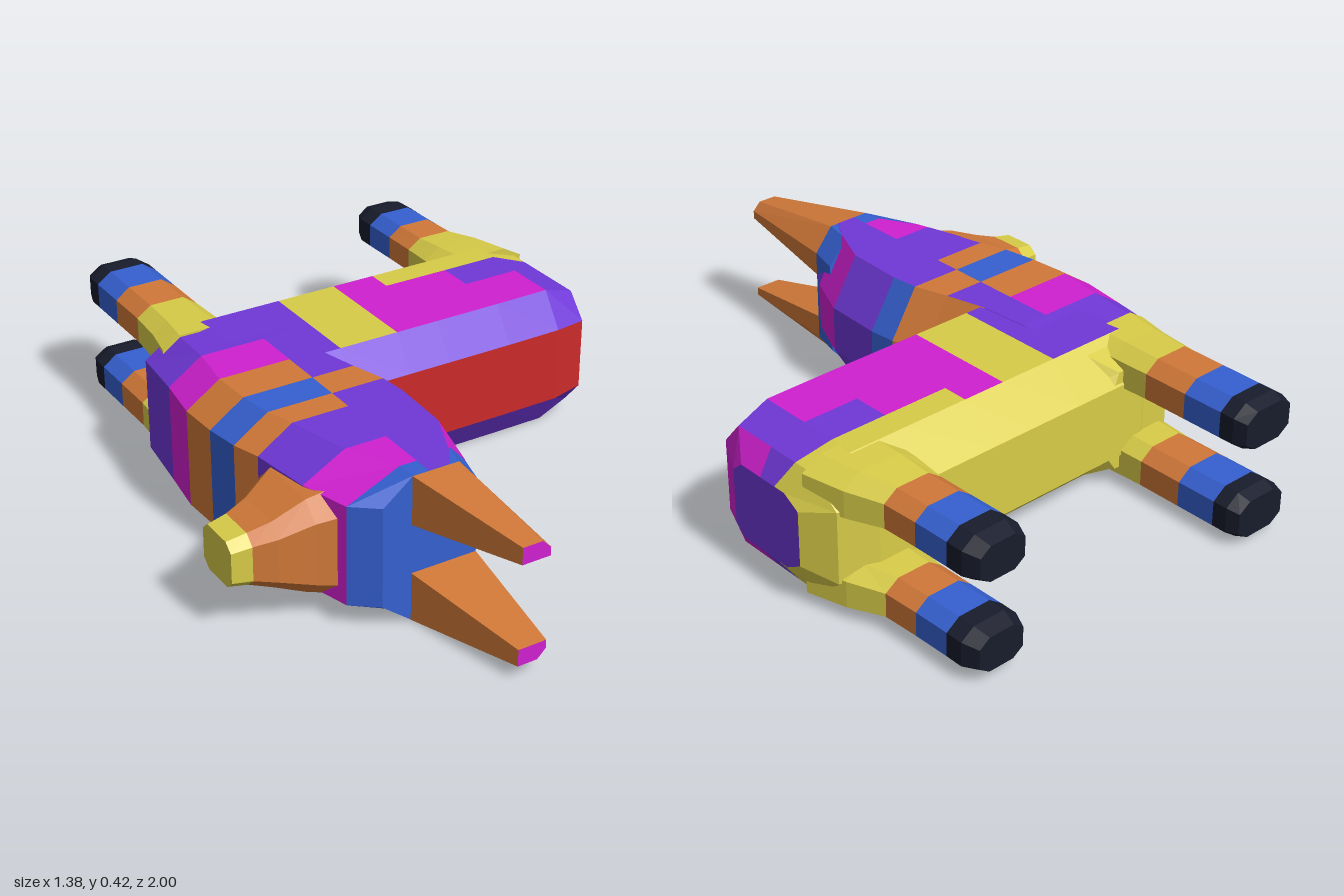
import * as THREE from 'three';

const PURPLE = 0x7038d8, MAGENTA = 0xd020d0, BLUE = 0x3560d0, ORANGE = 0xd07838;
const YELLOW = 0xd8cc48, RED = 0xcc2a2a, NAVY = 0x181c2c;

// Skin a list of rings (arrays of Vector3) and close both ends; one mesh per colour.
function loft(name, rings, colorAt) {
  const part = new THREE.Group();
  part.name = name;
  const buckets = new Map();
  const mid = pts => pts.reduce((s, p) => s.add(p), new THREE.Vector3()).divideScalar(pts.length);
  const face = (pts, inside) => {
    const c = mid(pts), color = colorAt(c.x, c.y, c.z);
    if (!buckets.has(color)) buckets.set(color, []);
    for (let i = 1; i < pts.length - 1; i++) {
      const tri = [pts[0], pts[i], pts[i + 1]];
      const n = tri[1].clone().sub(tri[0]).cross(tri[2].clone().sub(tri[0]));
      if (n.dot(c.clone().sub(inside)) < 0) tri.reverse();
      tri.forEach(p => buckets.get(color).push(p.x, p.y, p.z));
    }
  };
  const centres = rings.map(mid);
  for (let k = 0; k < rings.length - 1; k++) {
    const a = rings[k], b = rings[k + 1], inside = centres[k].clone().lerp(centres[k + 1], 0.5);
    a.forEach((p, i) => {
      const j = (i + 1) % a.length;
      face([p, a[j], b[j], b[i]], inside);
    });
  }
  face(rings[0], centres[1]);
  face(rings.at(-1), centres.at(-2));

  for (const [color, pos] of buckets) {
    const g = new THREE.BufferGeometry();
    g.setAttribute('position', new THREE.Float32BufferAttribute(pos, 3));
    g.computeVertexNormals();
    const m = new THREE.Mesh(g, new THREE.MeshStandardMaterial({ color, flatShading: true }));
    m.name = name + 'Patch';
    part.add(m);
  }
  return part;
}

// Mirror a half outline [u, w] into a closed one.
const mirrored = half => [...half, ...half.slice().reverse().map(([u, w]) => [u, -w])];

// Chamfered rectangle outline, centred.
function octagon(hu, hw, k = 0.45) {
  const cu = hu * (1 - k), cw = hw * (1 - k);
  return [[hu, -cw], [hu, cw], [cu, hw], [-cu, hw], [-hu, cw], [-hu, -cw], [-cu, -hw], [cu, -hw]];
}

// Local frame: x runs to the tail, y from hooves to ears, z across the animal.
function buildTrunk() {
  // s, lower y, upper y, half width, half width of the flat back
  const rows = [[-0.4, -0.4, 0.0, 0.19, 0.1], [-0.3, -0.445, 0.06, 0.208, 0.11], [-0.06, -0.445, 0.062, 0.208, 0.11],
    [0.12, -0.445, 0.062, 0.208, 0.11], [0.25, -0.445, 0.062, 0.208, 0.11], [0.45, -0.445, 0.062, 0.208, 0.11],
    [0.62, -0.445, 0.06, 0.208, 0.11], [0.72, -0.405, 0.04, 0.175, 0.105], [0.765, -0.31, -0.05, 0.11, 0.08]];
  const rings = rows.map(([s, lo, hi, w, f]) => {
    const at = k => lo + (hi - lo) * k;
    return mirrored([[hi, f], [at(0.865), w], [at(0.565), w], [at(0.35), w], [at(0.2), w], [lo, f]])
      .map(([t, z]) => new THREE.Vector3(s, t, z));
  });
  return loft('trunk', rings, (s, t, w) => {
    if (s > 0.66) {
      if (s < 0.7 && t > 0.02 && Math.abs(w) < 0.05) return RED;
      return t > -0.11 ? (s < 0.7 ? PURPLE : MAGENTA) : t > -0.25 ? PURPLE : YELLOW;
    }
    if (t < -0.36) return YELLOW;
    if (t > 0) return Math.abs(w) < 0.05 ? RED : PURPLE;
    if (w > 0) return s > -0.06 ? (t < -0.28 ? YELLOW : PURPLE) : MAGENTA;
    if (s < -0.06) return PURPLE;
    if (s < 0.12) return YELLOW;
    if (t < -0.28 && s > 0.25) return YELLOW;
    return t < -0.16 && s > 0.45 ? PURPLE : MAGENTA;
  });
}

function buildNeckAndHead() {
  // t, front s, back s, half width, front chamfer
  const rows = [[-0.44, -0.4, -0.14, 0.15, 0.06], [-0.34, -0.48, -0.06, 0.2, 0.09], [-0.16, -0.5, -0.04, 0.21, 0.1],
    [-0.02, -0.52, -0.03, 0.21, 0.1], [0.1, -0.515, 0.0, 0.21, 0.1], [0.2, -0.5, 0.03, 0.21, 0.1],
    [0.28, -0.475, 0.038, 0.21, 0.1], [0.46, -0.45, 0.03, 0.21, 0.12], [0.6, -0.41, -0.03, 0.21, 0.15],
    [0.655, -0.34, -0.065, 0.21, 0.085]];
  const rings = rows.map(([t, f, b, w, c]) =>
    mirrored([[b, w * 0.33], [b - 0.085, w], [Math.max(-0.21, f + c + 0.02), w], [f + c, w], [f, w * 0.68]])
      .map(([s, z]) => new THREE.Vector3(s, t, z)));
  return loft('neckAndHead', rings, (s, t, w) => {
    const front = s < -0.21;
    if (t > 0.64) return BLUE;
    if (t < -0.35) return YELLOW;
    if (w > 0.18) {
      if (t < 0) return MAGENTA;
      return t < 0.28 ? BLUE : t < 0.46 ? PURPLE : MAGENTA;
    }
    if (front) {
      if (t < -0.16) return PURPLE;
      return t < -0.02 ? MAGENTA : t < 0.1 ? ORANGE : t < 0.2 ? BLUE : t < 0.28 ? ORANGE : t < 0.46 ? PURPLE : t < 0.6 ? MAGENTA : BLUE;
    }
    if (s > -0.06) {
      return t < 0.1 ? ORANGE : t < 0.2 ? ORANGE : t < 0.28 ? BLUE : t < 0.46 ? PURPLE : t < 0.6 ? MAGENTA : BLUE;
    }
    return t > 0.1 && t < 0.2 ? ORANGE : PURPLE;
  });
}

function buildSnout() {
  // s, centre t, half height, half width
  const rows = [[-0.36, 0.42, 0.17, 0.165], [-0.47, 0.42, 0.135, 0.135], [-0.56, 0.432, 0.1, 0.095],
    [-0.62, 0.43, 0.08, 0.075], [-0.675, 0.43, 0.072, 0.065]];
  const rings = rows.map(([s, t, h, w]) => octagon(h, w, 0.35).map(([u, z]) => new THREE.Vector3(s, t + u, z)));
  return loft('snout', rings, s => (s < -0.62 ? YELLOW : ORANGE));
}

function buildEar(side) {
  // t, front s, back s, inner w, outer w
  const rows = [[0.56, -0.25, -0.04, 0.07, 0.209], [0.655, -0.257, -0.065, 0.07, 0.209], [1.0, -0.177, -0.096, 0.12, 0.168]];
  const rings = rows.map(([t, f, b, i, o]) =>
    [[f, i], [f, o], [f + (b - f) * 0.7, o], [b, (i + o) / 2], [b, i]].map(([s, w]) => new THREE.Vector3(s, t, side * w)));
  return loft('ear', rings, (s, t) => (t > 0.99 ? MAGENTA : t < 0.64 ? BLUE : ORANGE));
}

function buildLeg(name, rows, side) {
  // t, centre s, half length, centre w, half width
  const rings = rows.map(([t, s, hs, w, hw]) =>
    octagon(hs, hw).map(([u, z]) => new THREE.Vector3(s + u, t, side * (w + z))));
  const [, , knee, sock, hoof] = rows.map(r => r[0]);
  return loft(name, rings, (s, t) => (t > knee ? YELLOW : t > sock ? ORANGE : t > hoof ? BLUE : NAVY));
}

export function createModel() {
  const model = new THREE.Group();
  model.name = 'lyingAnimal';
  const body = new THREE.Group();
  body.name = 'body';
  body.add(buildTrunk(), buildNeckAndHead(), buildSnout());

  const frontRows = [[-0.3, -0.33, 0.115, 0.135, 0.073], [-0.4, -0.325, 0.1, 0.135, 0.07], [-0.518, -0.322, 0.093, 0.135, 0.067],
    [-0.654, -0.322, 0.093, 0.135, 0.067], [-0.776, -0.322, 0.093, 0.135, 0.067], [-0.82, -0.322, 0.093, 0.135, 0.067],
    [-0.857, -0.322, 0.082, 0.135, 0.055]];
  const rearRows = [[-0.3, 0.61, 0.13, 0.135, 0.073], [-0.42, 0.595, 0.115, 0.132, 0.07], [-0.52, 0.578, 0.09, 0.13, 0.063],
    [-0.626, 0.575, 0.088, 0.13, 0.063], [-0.734, 0.573, 0.088, 0.13, 0.063], [-0.785, 0.573, 0.088, 0.13, 0.063],
    [-0.83, 0.573, 0.07, 0.13, 0.05]];
  for (const side of [-1, 1]) {
    body.add(buildEar(side), buildLeg('frontLeg', frontRows, side), buildLeg('rearLeg', rearRows, side));
  }

  // Lay the animal on its side and turn it
  body.rotation.set(Math.PI / 2, 0.376, 0, 'YXZ');
  body.position.y = 0.21;
  model.add(body);
  return model;
}
